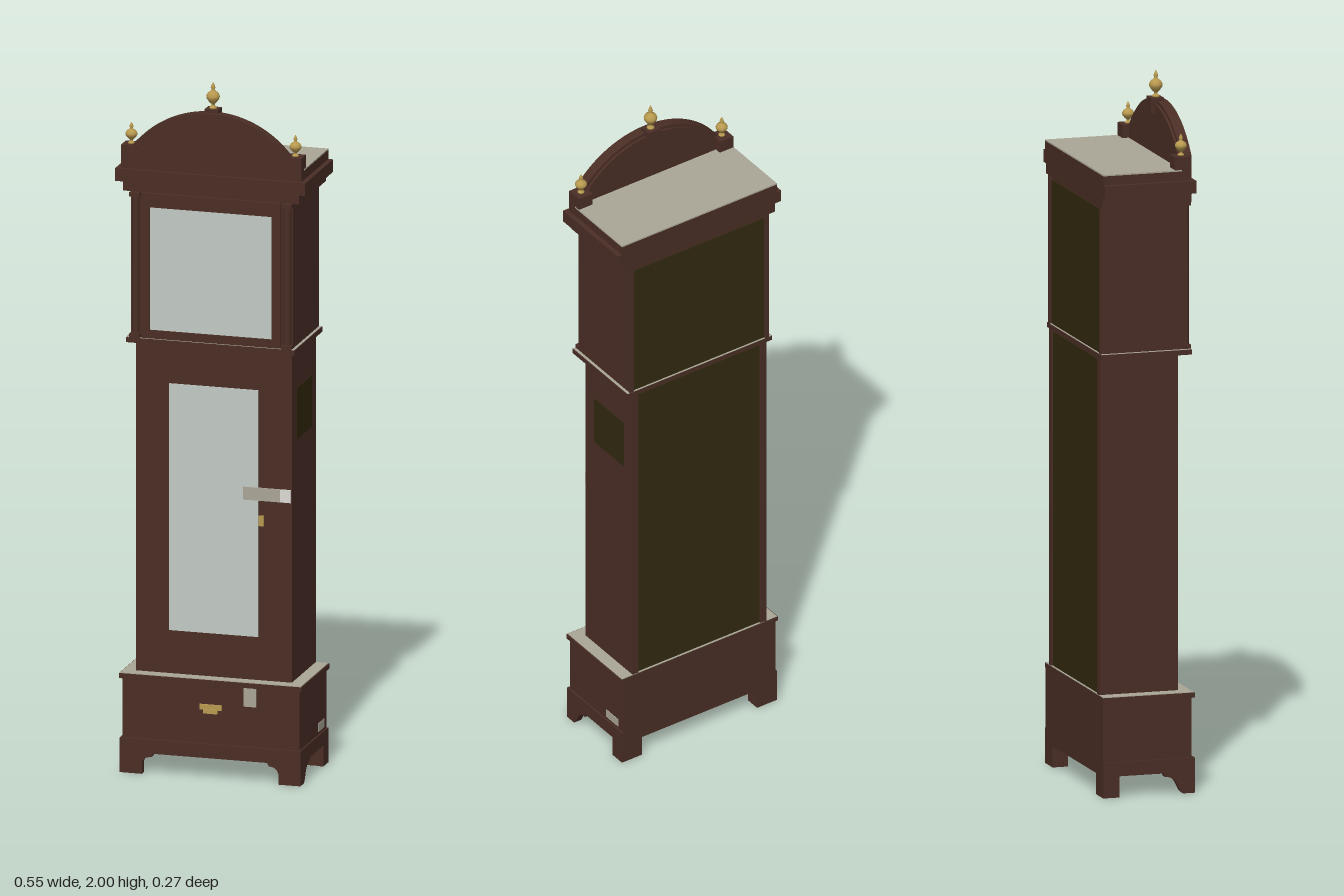
import * as THREE from 'three';

export function createModel() {
  const clock = new THREE.Group();
  clock.name = 'longcaseClock';
  const mat = (name, color, side = THREE.FrontSide) => {
    const m = new THREE.MeshStandardMaterial({ color, side });
    m.name = name;
    return m;
  };
  const wood = mat('darkWood', 0x4a2e25);
  const raw = mat('bareWood', 0xaaa596);
  const glass = mat('paleGlass', 0xc3cac5);
  const olive = mat('oliveBoard', 0x32290f);
  const brass = mat('brass', 0xb8994f);
  const paper = mat('paperLabel', 0xdcdad4);

  const add = (name, geo, m) => {
    const mesh = new THREE.Mesh(geo, m);
    mesh.name = name;
    clock.add(mesh);
    return mesh;
  };
  // Box given by its limits on each axis
  const box = (name, m, x0, x1, y0, y1, z0, z1) => {
    const b = add(name, new THREE.BoxGeometry(x1 - x0, y1 - y0, z1 - z0), m);
    b.position.set((x0 + x1) / 2, (y0 + y1) / 2, (z0 + z1) / 2);
    return b;
  };
  const wide = (name, m, x, y0, y1, z0, z1) => box(name, m, -x, x, y0, y1, z0, z1);
  const extrude = (name, shape, depth, m) =>
    add(name, new THREE.ExtrudeGeometry(shape, { depth, bevelEnabled: false, curveSegments: 24 }), m);
  const B = -0.135; // back plane

  // Front board with bracket feet
  const front = new THREE.Shape();
  front.moveTo(-0.262, 0);
  front.lineTo(-0.198, 0);
  front.lineTo(-0.198, 0.03);
  front.quadraticCurveTo(-0.194, 0.05, -0.17, 0.05);
  front.lineTo(-0.165, 0.06);
  front.lineTo(0.165, 0.06);
  front.lineTo(0.17, 0.05);
  front.quadraticCurveTo(0.194, 0.05, 0.198, 0.03);
  front.lineTo(0.198, 0);
  front.lineTo(0.262, 0);
  front.lineTo(0.262, 0.1);
  front.lineTo(-0.262, 0.1);
  extrude('frontFootBoard', front, 0.02, wood).position.z = 0.112;

  // Side boards with an ogee front foot and a square back foot
  const side = new THREE.Shape();
  side.moveTo(0.13, 0);
  side.lineTo(0.098, 0);
  side.bezierCurveTo(0.08, 0.012, 0.085, 0.048, 0.045, 0.05);
  side.lineTo(0.04, 0.06);
  side.lineTo(-0.088, 0.06);
  side.lineTo(-0.088, 0);
  side.lineTo(B, 0);
  side.lineTo(B, 0.1);
  side.lineTo(0.13, 0.1);
  for (const x of [-0.262, 0.242]) {
    const s = extrude('sideFootBoard', side, 0.02, wood);
    s.rotation.y = -Math.PI / 2;
    s.position.x = x + 0.02;
  }
  for (const s of [-1, 1]) {
    const c = s * 0.225;
    box('backFoot', wood, c - 0.03, c + 0.03, 0, 0.08, B, -0.09);
  }

  // Base
  wide('baseBox', wood, 0.257, 0.06, 0.272, B, 0.124);
  wide('baseMoulding', wood, 0.265, 0.27, 0.284, B, 0.131);
  wide('baseTop', raw, 0.262, 0.284, 0.286, B, 0.128);
  wide('drawerPullPlate', brass, 0.032, 0.198, 0.213, 0.124, 0.129);
  wide('drawerPull', brass, 0.02, 0.188, 0.2, 0.124, 0.133);
  box('baseFrontLabel', raw, 0.095, 0.132, 0.215, 0.27, 0.124, 0.126);
  box('baseSideLabel', raw, 0.257, 0.259, 0.108, 0.132, -0.11, -0.052);

  // Trunk
  wide('trunk', wood, 0.226, 0.284, 1.24, -0.127, 0.095);
  wide('trunkDoorGlass', glass, 0.129, 0.41, 1.12, 0.094, 0.097);
  box('frontLabel', raw, 0.086, 0.193, 0.803, 0.84, 0.095, 0.099);
  box('frontLabelEnd', paper, 0.193, 0.224, 0.803, 0.84, 0.095, 0.099);
  box('keyPlate', brass, 0.13, 0.145, 0.73, 0.76, 0.095, 0.099);
  box('sideBoard', olive, 0.226, 0.228, 0.975, 1.123, -0.092, 0.05);

  // Hood
  wide('hoodMoulding', wood, 0.245, 1.238, 1.252, B, 0.13);
  wide('hoodLedge', raw, 0.243, 1.252, 1.253, B, 0.128);
  wide('hood', wood, 0.235, 1.25, 1.68, -0.127, 0.113);
  const frame = new THREE.Shape();
  const rect = (p, x, y0, y1) => {
    p.moveTo(-x, y0); p.lineTo(x, y0); p.lineTo(x, y1); p.lineTo(-x, y1); p.closePath();
    return p;
  };
  rect(frame, 0.202, 1.253, 1.67);
  frame.holes.push(rect(new THREE.Path(), 0.177, 1.277, 1.63));
  extrude('hoodDoorFrame', frame, 0.014, wood).position.z = 0.112;
  wide('hoodDoorGlass', glass, 0.178, 1.276, 1.631, 0.114, 0.122);
  for (const s of [-1, 1]) {
    const col = add('hoodColumn', new THREE.CylinderGeometry(0.011, 0.011, 0.4, 16), wood);
    col.position.set(s * 0.22, 1.462, 0.117);
    for (const y of [1.258, 1.664])
      box('columnBlock', wood, s * 0.22 - 0.015, s * 0.22 + 0.015, y - 0.006, y + 0.006, 0.1, 0.13);
  }

  // Back boards with their stiles and rails
  wide('trunkBackBoard', olive, 0.206, 0.286, 1.232, -0.13, -0.126);
  wide('hoodBackBoard', olive, 0.222, 1.252, 1.66, -0.13, -0.126);
  for (const s of [-1, 1]) {
    box('trunkBackStile', wood, s * 0.216 - 0.01, s * 0.216 + 0.01, 0.284, 1.24, B, -0.126);
    box('hoodBackStile', wood, s * 0.2285 - 0.0065, s * 0.2285 + 0.0065, 1.25, 1.68, B, -0.126);
  }

  // Cornice and roof
  wide('lowerCornice', wood, 0.255, 1.672, 1.702, B, 0.124);
  wide('upperCornice', wood, 0.276, 1.7, 1.736, B, 0.132);
  wide('roofBox', wood, 0.262, 1.736, 1.762, B, 0.1);
  wide('roofBoard', raw, 0.262, 1.762, 1.766, B, 0.094);

  // Arched pediment
  const cy = 1.622, R = 0.283;
  const arcAt = (r, x) => Math.acos(x / r);
  const ped = new THREE.Shape();
  ped.moveTo(-0.262, 1.735);
  ped.lineTo(0.262, 1.735);
  ped.lineTo(0.262, 1.8);
  ped.absarc(0, cy, R, arcAt(R, 0.216), Math.PI - arcAt(R, 0.216), false);
  ped.lineTo(-0.262, 1.8);
  extrude('pediment', ped, 0.027, wood).position.z = 0.095;
  const a = arcAt(R, 0.225);
  const trim = new THREE.Shape();
  trim.absarc(0, cy, R + 0.009, a, Math.PI - a, false);
  trim.absarc(0, cy, R - 0.006, Math.PI - a, a, true);
  extrude('archMoulding', trim, 0.03, wood).position.z = 0.102;

  // Finials on their plinths
  const profile = [[0, 0], [0.55, 0], [0.55, 0.05], [0.25, 0.11], [0.25, 0.17], [0.6, 0.25], [0.95, 0.38],
    [1, 0.47], [0.8, 0.58], [0.35, 0.66], [0.22, 0.72], [0.35, 0.77], [0.25, 0.86], [0, 1]];
  const finial = (x, y, z, r, h) => {
    const pts = profile.map(([u, v]) => new THREE.Vector2(u * r, v * h));
    add('finial', new THREE.LatheGeometry(pts, 20), brass).position.set(x, y, z);
  };
  for (const s of [-1, 1]) {
    box('sidePlinth', wood, s * 0.238 - 0.023, s * 0.238 + 0.023, 1.762, 1.803, 0.075, 0.123);
    finial(s * 0.238, 1.803, 0.099, 0.017, 0.062);
  }
  wide('centrePlinth', wood, 0.02, 1.88, 1.923, 0.083, 0.12);
  finial(0, 1.923, 0.103, 0.019, 0.077);

  return clock;
}
